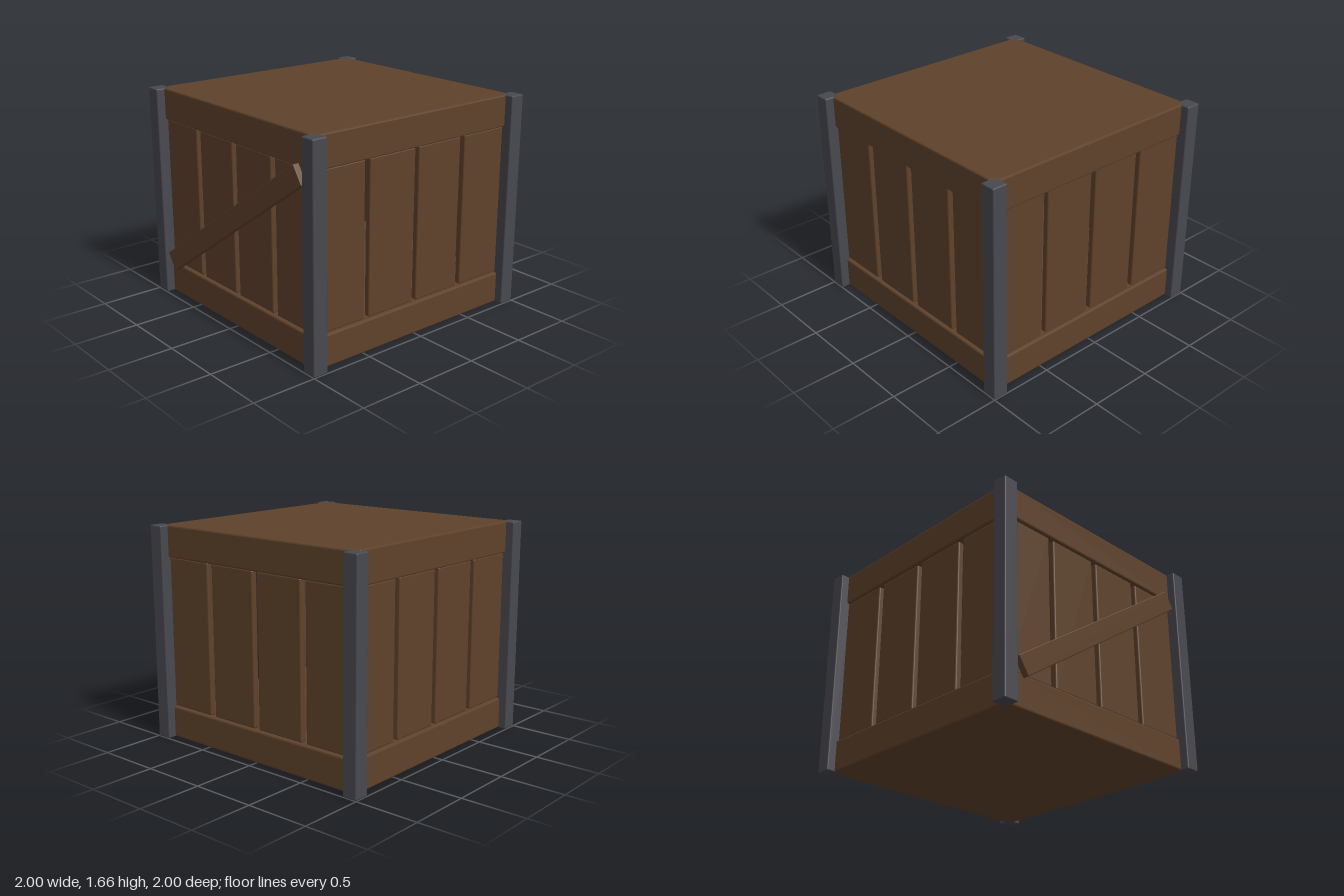
import * as THREE from 'three';
import { RoundedBoxGeometry } from 'three/addons/geometries/RoundedBoxGeometry.js';

export function createModel() {
  const model = new THREE.Group();
  model.name = 'crate';

  const wood = new THREE.MeshStandardMaterial({ color: 0x5e422b });
  wood.name = 'brown wood';
  const metal = new THREE.MeshStandardMaterial({ color: 0x484850 });
  metal.name = 'dark metal';

  const add = (parent, name, geometry, material, x, y, z) => {
    const mesh = new THREE.Mesh(geometry, material);
    mesh.name = name;
    mesh.position.set(x, y, z);
    parent.add(mesh);
    return mesh;
  };

  // Lid and base: square slabs with clipped corners and bevelled edges
  const bevel = 0.012, half = 0.935 - bevel, clip = 0.05, slabHeight = 0.245;
  const outline = new THREE.Shape([
    [half, -half + clip], [half, half - clip], [half - clip, half], [-half + clip, half],
    [-half, half - clip], [-half, -half + clip], [-half + clip, -half], [half - clip, -half],
  ].map(([x, y]) => new THREE.Vector2(x, y)));
  const slab = new THREE.ExtrudeGeometry(outline, {
    depth: slabHeight - 2 * bevel, bevelEnabled: true,
    bevelThickness: bevel, bevelSize: bevel, bevelSegments: 2,
  });
  slab.rotateX(-Math.PI / 2).translate(0, bevel, 0);
  add(model, 'base', slab, wood, 0, 0.003, 0);
  add(model, 'lid', slab, wood, 0, 1.42, 0);

  // Four walls of upright planks with open gaps
  const plank = new RoundedBoxGeometry(0.415, 1.168, 0.05, 2, 0.012);
  for (const side of ['front', 'left', 'back', 'right'].entries()) {
    const wall = new THREE.Group();
    wall.name = side[1] + 'Wall';
    wall.rotation.y = side[0] * Math.PI / 2;
    for (const x of [-0.688, -0.229, 0.229, 0.688]) {
      add(wall, 'plank', plank, wood, x, 0.836, 0.89);
    }
    model.add(wall);
  }

  // Corner posts
  const post = new RoundedBoxGeometry(0.12, 1.663, 0.12, 2, 0.01);
  for (const x of [-0.94, 0.94]) {
    for (const z of [-0.94, 0.94]) add(model, 'cornerPost', post, metal, x, 0.8315, z);
  }

  // Diagonal brace across the front
  const brace = new RoundedBoxGeometry(1.972, 0.154, 0.05, 2, 0.006);
  add(model, 'diagonalBrace', brace, wood, 0, 0.834, 0.96).rotation.z = 0.596;

  return model;
}
